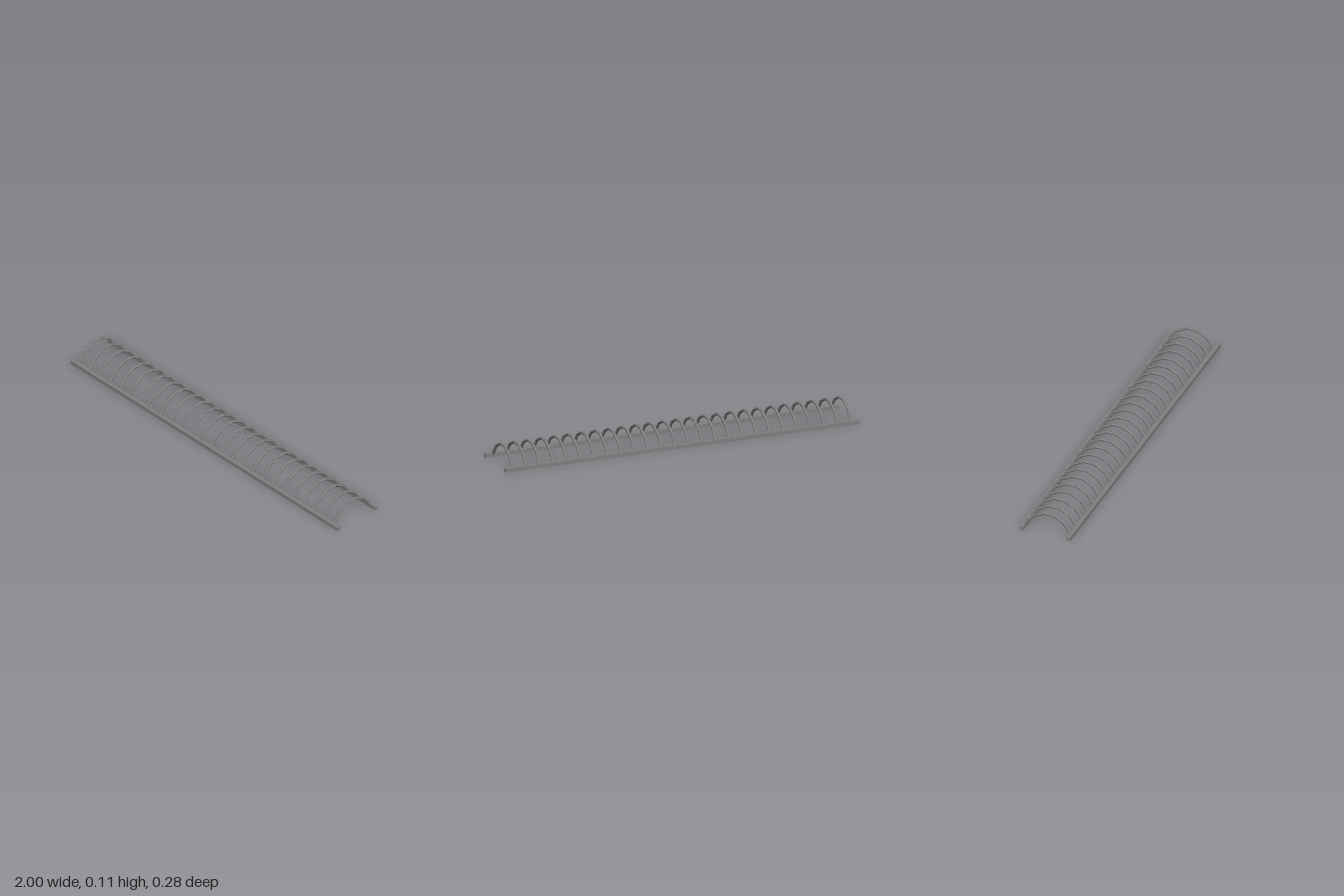
import * as THREE from 'three';

const RAIL = 0.021, RAIL_Z = 0.132, HOOPS = 26, HOOP_SPAN = 1.91;
const RADIUS = 0.0075, SIDES = 8;

// Hoop centre line as (z, y), from the front rail over to the back rail
const HALF = [[RAIL_Z, RAIL / 2], [0.084, 0.072], [0.029, 0.102]];
const PATH = [...HALF, ...HALF.map(([z, y]) => [-z, y]).reverse()]
  .map(([z, y]) => new THREE.Vector2(z, y));

// Round bar swept along the centre line with mitred bends
function hoopGeometry() {
  const dirs = PATH.slice(1).map((p, i) => p.clone().sub(PATH[i]).normalize());
  const normal = (d) => new THREE.Vector2(d.y, -d.x);
  const rings = PATH.map((p, i) => {
    const a = normal(dirs[Math.max(i - 1, 0)]);
    const b = normal(dirs[Math.min(i, dirs.length - 1)]);
    const m = a.clone().add(b).normalize();
    m.divideScalar(m.dot(a));
    return Array.from({ length: SIDES }, (_, k) => {
      const t = ((k + 0.5) / SIDES) * Math.PI * 2;
      const s = RADIUS * Math.sin(t);
      return [RADIUS * Math.cos(t), p.y + m.y * s, p.x + m.x * s];
    });
  });
  // Each straight length has its own rings, so the bends stay crisp
  const positions = [], index = [];
  for (let i = 0; i < rings.length - 1; i++) {
    const base = positions.length / 3;
    positions.push(...rings[i].flat(), ...rings[i + 1].flat());
    for (let k = 0; k < SIDES; k++) {
      const a = base + k, b = base + ((k + 1) % SIDES);
      index.push(a, a + SIDES, b, b, a + SIDES, b + SIDES);
    }
  }
  const geo = new THREE.BufferGeometry();
  geo.setAttribute('position', new THREE.Float32BufferAttribute(positions, 3));
  geo.setIndex(index);
  geo.computeVertexNormals();
  return geo;
}

export function createModel() {
  const model = new THREE.Group();
  model.name = 'hoopedRack';
  const material = new THREE.MeshStandardMaterial({ color: 0x808080 });

  // Two square rails on the ground
  const railGeo = new THREE.BoxGeometry(2, RAIL, RAIL);
  for (const [name, side] of [['frontRail', 1], ['backRail', -1]]) {
    const rail = new THREE.Mesh(railGeo, material);
    rail.name = name;
    rail.position.set(0, RAIL / 2, side * RAIL_Z);
    model.add(rail);
  }

  // Evenly spaced hoops bridging the rails
  const hoopGeo = hoopGeometry();
  const hoops = new THREE.Group();
  hoops.name = 'hoops';
  for (let i = 0; i < HOOPS; i++) {
    const hoop = new THREE.Mesh(hoopGeo, material);
    hoop.name = `hoop${i + 1}`;
    hoop.position.x = (i / (HOOPS - 1) - 0.5) * HOOP_SPAN;
    hoops.add(hoop);
  }
  model.add(hoops);
  return model;
}
